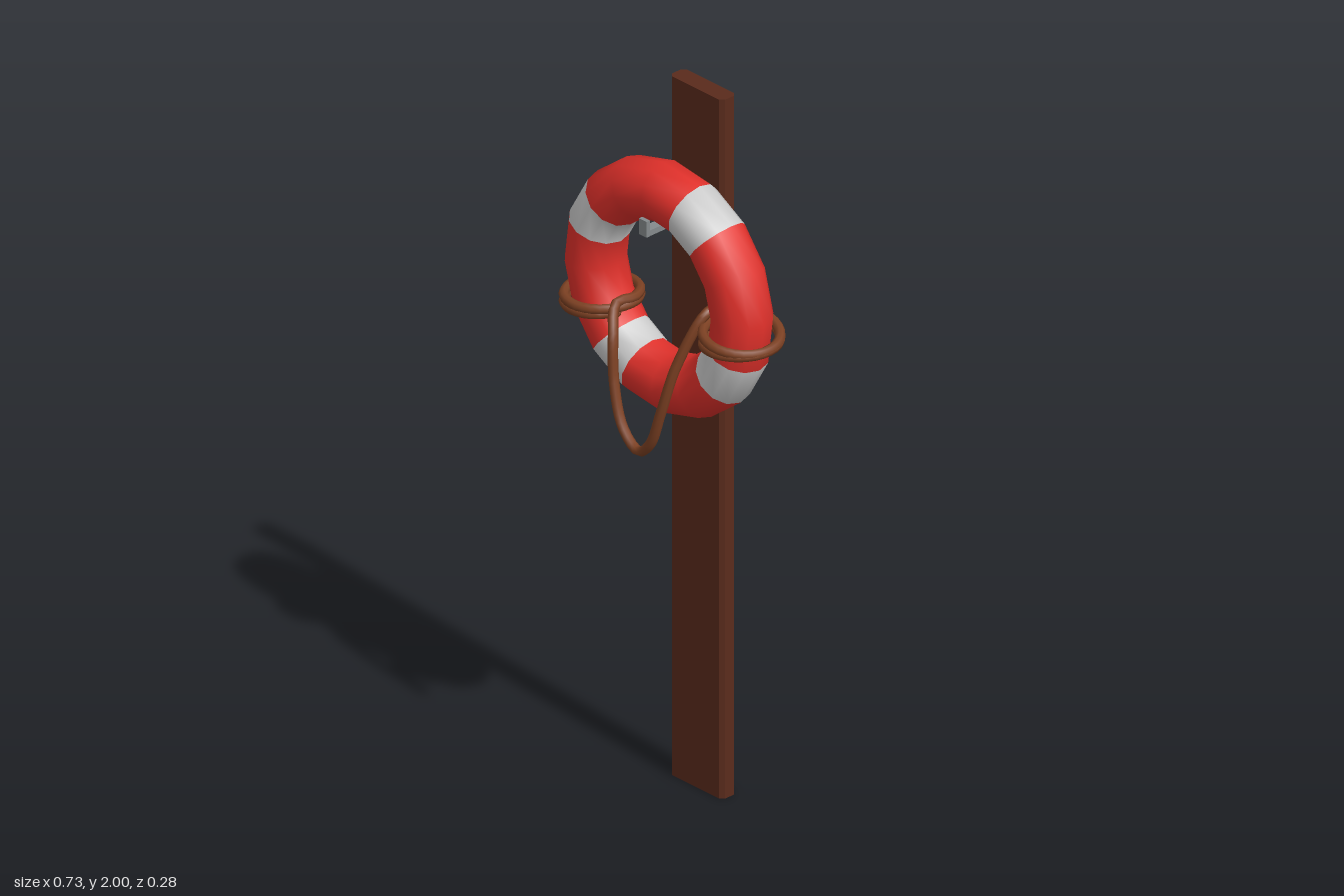
import * as THREE from 'three';

const material = (color) => new THREE.MeshStandardMaterial({ color });
const CENTRE_X = -0.012;

function addMesh(parent, name, geometry, mat, x = 0, y = 0, z = 0) {
  const mesh = new THREE.Mesh(geometry, mat);
  mesh.name = name;
  mesh.position.set(x, y, z);
  parent.add(mesh);
  return mesh;
}

// Rectangle with cut corners, centred on the origin
function chamferedRect(w, d, c) {
  const x = w / 2, y = d / 2;
  return new THREE.Shape([
    [-x + c, -y], [x - c, -y], [x, -y + c], [x, y - c],
    [x - c, y], [-x + c, y], [-x, y - c], [-x, -y + c],
  ].map(([a, b]) => new THREE.Vector2(a, b)));
}

// Points of a coil wound around the ring; tilt changes from the first turn to the last
function coil(cx, y0, y1, rx, rz, a0, turns, tilt0, tilt1) {
  const points = [], steps = turns * 10;
  for (let i = 0; i <= steps; i++) {
    const t = i / steps, a = a0 + t * turns * Math.PI * 2;
    const tilt = THREE.MathUtils.lerp(tilt0, tilt1, t);
    points.push(new THREE.Vector3(
      cx + rx * Math.cos(a),
      THREE.MathUtils.lerp(y0, y1, t) + tilt * Math.cos(a),
      0.003 + rz * Math.sin(a)));
  }
  return points;
}

export function createModel() {
  const model = new THREE.Group();
  model.name = 'lifebuoyPost';
  const wood = material(0x5a2b1c), red = material(0xe0302a), white = material(0xcccccc);
  const ropeMat = material(0x7d4123), metal = material(0x858a8c);

  // Upright plank with chamfered long edges
  const plank = new THREE.ExtrudeGeometry(chamferedRect(0.194, 0.052, 0.011),
    { depth: 2, bevelEnabled: false });
  plank.rotateX(-Math.PI / 2);
  addMesh(model, 'plank', plank, wood, CENTRE_X, 0, -0.117);

  // Ring: sixteen segments, every fourth one white
  const ring = new THREE.Group();
  ring.name = 'lifebuoy';
  ring.position.set(CENTRE_X, 1.466, 0.001);
  model.add(ring);
  const step = Math.PI / 8, start = THREE.MathUtils.degToRad(48.75);
  for (let i = 0; i < 4; i++) {
    const a = start + i * Math.PI / 2;
    const band = new THREE.TorusGeometry(0.268, 0.081, 12, 1, step);
    addMesh(ring, 'whiteBand', band, white).rotation.z = a;
    const section = new THREE.TorusGeometry(0.268, 0.081, 12, 3, step * 3);
    addMesh(ring, 'redSection', section, red).rotation.z = a + step;
  }

  // Hook: chamfered back plate, arm and upturned tip
  const hook = new THREE.Group();
  hook.name = 'hook';
  model.add(hook);
  const plate = new THREE.CylinderGeometry(0.085, 0.1, 0.014, 4, 1);
  plate.rotateY(Math.PI / 4).rotateX(Math.PI / 2).scale(1.25, 0.3, 1);
  plate.deleteAttribute('normal');
  const flatPlate = plate.toNonIndexed();
  flatPlate.computeVertexNormals();
  addMesh(hook, 'backPlate', flatPlate, metal, CENTRE_X, 1.671, -0.085);
  addMesh(hook, 'arm', new THREE.BoxGeometry(0.028, 0.016, 0.18), metal, CENTRE_X, 1.653, 0);
  addMesh(hook, 'tip', new THREE.BoxGeometry(0.028, 0.045, 0.012), metal, CENTRE_X, 1.667, 0.086);

  // Rope: left coil, hanging loop and right coil in one path
  const hanging = [
    [-0.128, 1.31, 0.085], [-0.105, 1.19, 0.103], [-0.062, 1.085, 0.114], [0, 1.044, 0.12],
    [0.05, 1.085, 0.125], [0.09, 1.19, 0.126], [0.125, 1.33, 0.105],
  ].map((p) => new THREE.Vector3(...p));
  const path = [
    ...coil(-0.255, 1.335, 1.367, 0.098, 0.095, -4 * Math.PI + 0.4, 2, 0.012, 0.006),
    ...hanging,
    ...coil(0.255, 1.45, 1.415, 0.095, 0.101, Math.PI - 0.4, 2, -0.026, 0.004),
  ];
  const rope = new THREE.Group();
  rope.name = 'rope';
  model.add(rope);
  const curve = new THREE.CatmullRomCurve3(path);
  addMesh(rope, 'ropeStrand', new THREE.TubeGeometry(curve, 160, 0.0135, 8), ropeMat);
  for (const p of [path[0], path[path.length - 1]]) {
    addMesh(rope, 'ropeEnd', new THREE.SphereGeometry(0.0135, 8, 6), ropeMat, p.x, p.y, p.z);
  }
  return model;
}
